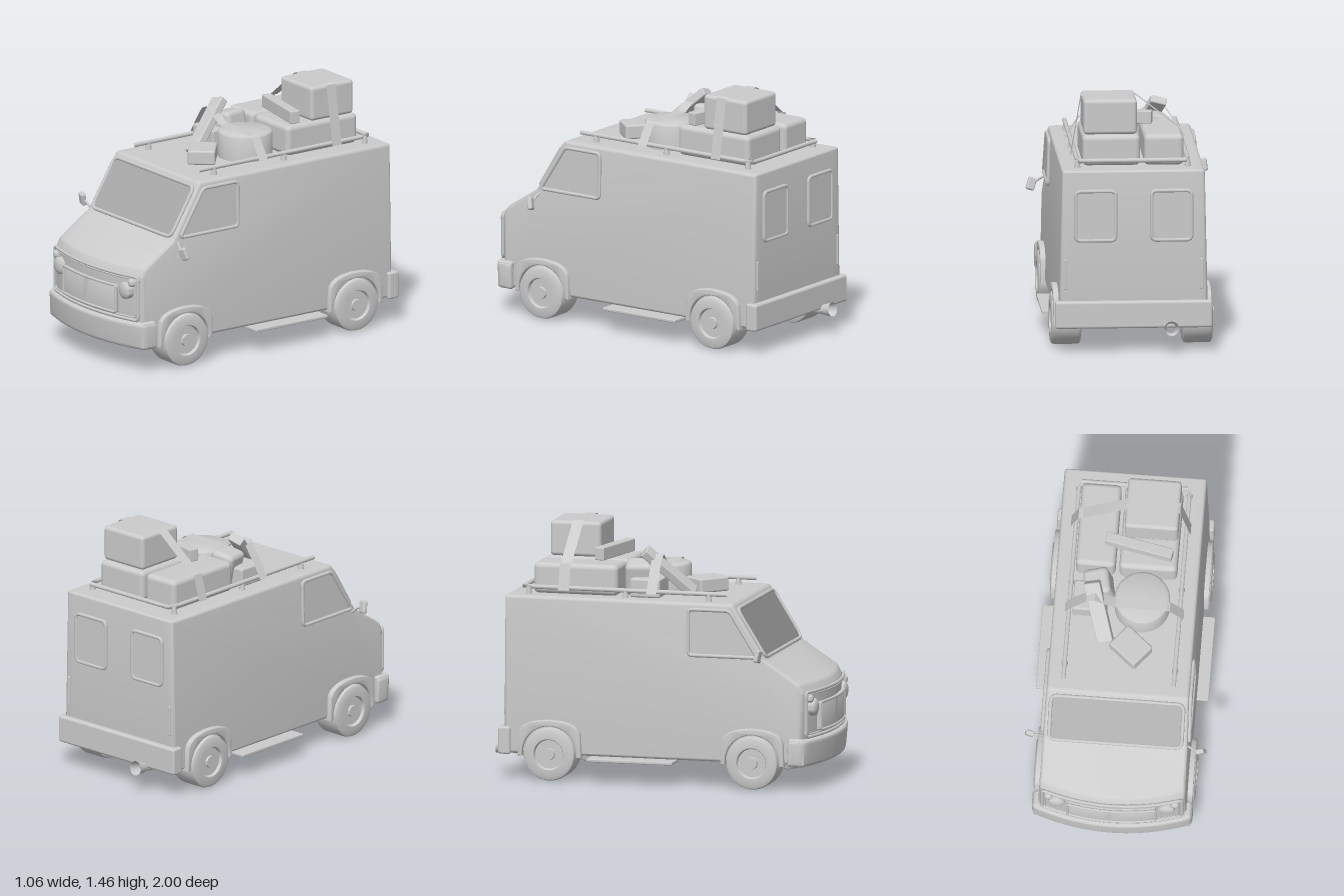
import * as THREE from 'three';
import { toCreasedNormals } from 'three/addons/utils/BufferGeometryUtils.js';
import { RoundedBoxGeometry } from 'three/addons/geometries/RoundedBoxGeometry.js';

export function createModel() {
  const van = new THREE.Group();
  van.name = 'van';
  const grey = new THREE.MeshStandardMaterial({ color: 0xcccccc });
  const cloth = new THREE.MeshStandardMaterial({ color: 0xcccccc, side: THREE.DoubleSide });
  const V = (x, y, z) => new THREE.Vector3(x, y, z);

  function add(name, geo, pos = [0, 0, 0], rot = [0, 0, 0], mat = grey) {
    const m = new THREE.Mesh(geo, mat);
    m.name = name;
    m.position.set(...pos);
    m.rotation.set(...rot);
    van.add(m);
    return m;
  }
  const box = (name, size, pos, r = 0.01, rot) => add(name, new RoundedBoxGeometry(...size, 3, r), pos, rot);

  // nose curvature in plan and slight narrowing towards the roof
  const noseZ = (x, z) => z - 0.075 * (x / 0.43) ** 2 * THREE.MathUtils.clamp((z - 0.66) / 0.29, 0, 1);
  function bend(geo, fn) {
    const p = geo.attributes.position;
    for (let i = 0; i < p.count; i++) p.setXYZ(i, ...fn(p.getX(i), p.getY(i), p.getZ(i)));
    return geo;
  }
  const bendNose = (x, y, z) => [x, y, noseZ(x, z)];
  const sideX = (y) => 0.432 * (1 - 0.045 * (y - 0.15) / 0.92);

  // extrude a (z, y) outline across the width
  function across(shape, width, bevel, steps = 1) {
    const geo = new THREE.ExtrudeGeometry(shape, {
      depth: width - 2 * bevel, steps, curveSegments: 16, bevelEnabled: bevel > 0,
      bevelSize: bevel, bevelThickness: bevel, bevelOffset: -bevel, bevelSegments: 3,
    });
    return geo.translate(0, 0, bevel - width / 2).rotateY(-Math.PI / 2);
  }
  // polygon with rounded corners
  function rounded(pts, r) {
    const s = new THREE.Shape();
    const v = pts.map((p) => new THREE.Vector2(...p));
    v.forEach((p, i) => {
      const a = v[(i + v.length - 1) % v.length], b = v[(i + 1) % v.length];
      const p1 = p.clone().add(a.clone().sub(p).setLength(r));
      const p2 = p.clone().add(b.clone().sub(p).setLength(r));
      if (i) s.lineTo(p1.x, p1.y); else s.moveTo(p1.x, p1.y);
      s.quadraticCurveTo(p.x, p.y, p2.x, p2.y);
    });
    s.closePath();
    return s;
  }
  const rect = (x0, x1, y0, y1, r) => rounded([[x0, y0], [x1, y0], [x1, y1], [x0, y1]], r);
  // raised bead following an outline, placed in space by map(u, v)
  function bead(name, shape, radius, map) {
    const pts = shape.getSpacedPoints(100).slice(0, -1).map((p) => map(p.x, p.y));
    const curve = new THREE.CatmullRomCurve3(pts, true);
    return add(name, new THREE.TubeGeometry(curve, 160, radius, 8, true));
  }
  const rod = (name, pts, r) => add(name, new THREE.TubeGeometry(
    new THREE.CatmullRomCurve3(pts.map((p) => V(...p)), false, 'catmullrom', 0.1), 40, r, 10));

  // body shell
  const profile = rounded([[-0.9, 0.15], [0.95, 0.15], [0.965, 0.57], [0.94, 0.615],
    [0.66, 0.755], [0.465, 1.07], [-0.9, 1.07]], 0.015);
  const shell = bend(across(profile, 0.864, 0.018, 20),
    (x, y, z) => [x * sideX(y) / 0.432, y, noseZ(x, z)]);
  add('body', toCreasedNormals(shell, 0.6));

  // windscreen on its slope
  const slope = (u, v) => V(u, v, 0.663 - (v - 0.755) * 0.619 + 0.004);
  const screen = rect(-0.385, 0.385, 0.768, 1.042, 0.04);
  bead('windscreenFrame', screen, 0.011, slope);
  add('windscreen', bend(new THREE.ShapeGeometry(screen), (x, y) => slope(x, y).toArray()));

  // cab side windows
  const cabShape = rounded([[0.62, 0.768], [0.45, 1.035], [0.205, 1.035], [0.205, 0.768]], 0.025);
  for (const s of [-1, 1]) {
    bead('cabWindowFrame', cabShape, 0.011, (z, y) => V(s * (sideX(y) + 0.007), y, z));
    add('cabWindow', bend(across(cabShape, 0.02, 0),
      (x, y, z) => [x + s * (sideX(y) - 0.002), y, z]));
  }

  // rear windows and tail lights
  for (const s of [-1, 1]) {
    const pane = rect(s * 0.22 - 0.115, s * 0.22 + 0.115, 0.66, 0.95, 0.03);
    bead('rearWindowFrame', pane, 0.011, (x, y) => V(x, y, -0.903));
    box('rearWindow', [0.22, 0.28, 0.012], [s * 0.22, 0.805, -0.901], 0.004);
    box('tailLight', [0.018, 0.18, 0.016], [s * 0.395, 0.46, -0.9], 0.006);
  }

  // bumpers
  const front = across(rounded([[0.86, 0.14], [0.985, 0.14], [1.0, 0.3], [0.87, 0.3]], 0.025), 0.93, 0.025, 20);
  add('frontBumper', toCreasedNormals(bend(front, bendNose), 0.6));
  for (const s of [-1, 1]) {
    box('frontBumperEnd', [0.04, 0.16, 0.1], [s * 0.438, 0.225, 0.86], 0.015);
    box('rearBumperEnd', [0.035, 0.16, 0.06], [s * 0.438, 0.225, -0.888], 0.012);
  }
  box('rearBumper', [0.91, 0.16, 0.05], [0, 0.225, -0.907], 0.015);

  // grille and lamps
  const onNose = (z) => (x, y) => V(x, y, noseZ(x, z));
  bead('grilleFrame', rect(-0.405, 0.405, 0.312, 0.572, 0.012), 0.01, onNose(0.972));
  bead('grilleFrameInner', rect(-0.39, 0.39, 0.327, 0.557, 0.012), 0.005, onNose(0.972));
  const centre = across(rounded([[0.93, 0.335], [0.98, 0.335], [0.98, 0.5], [0.93, 0.5]], 0.006), 0.51, 0.006, 14);
  add('grillePanel', toCreasedNormals(bend(centre, bendNose), 0.6));
  bead('grillePanelFrame', rect(-0.255, 0.255, 0.337, 0.498, 0.01), 0.008, onNose(0.98));
  function lamp(name, x, y, r) {
    const pts = [[0, -0.03], [r, -0.03], [r, 0.016], [r * 0.85, 0.024], [r * 0.5, 0.03], [0, 0.032]];
    const geo = new THREE.LatheGeometry(pts.map((p) => new THREE.Vector2(...p)), 32);
    add(name, toCreasedNormals(geo, 0.7), [x, y, noseZ(x, 0.965)], [Math.PI / 2, 0, 0]);
  }
  for (const s of [-1, 1]) {
    lamp('headlight', s * 0.318, 0.48, 0.05);
    lamp('indicator', s * 0.367, 0.535, 0.024);
  }

  // wheels and arches
  const tyre = [[0, -0.087], [0.135, -0.087], [0.15, -0.08], [0.155, -0.065], [0.155, 0.065], [0.15, 0.08],
    [0.135, 0.087], [0.09, 0.087], [0.083, 0.07], [0.035, 0.07], [0.032, 0.082], [0, 0.082]];
  const wheelGeo = toCreasedNormals(new THREE.LatheGeometry(
    tyre.map((p) => new THREE.Vector2(...p)), 48), 0.7).rotateZ(-Math.PI / 2);
  const arch = new THREE.Shape();
  arch.moveTo(-0.19, 0.14);
  arch.lineTo(-0.185, 0.27);
  arch.quadraticCurveTo(-0.17, 0.352, 0, 0.354);
  arch.quadraticCurveTo(0.17, 0.352, 0.185, 0.27);
  arch.lineTo(0.19, 0.14);
  arch.lineTo(0.163, 0.14);
  arch.absarc(0, 0.155, 0.163, 0, Math.PI, false);
  arch.lineTo(-0.163, 0.14);
  const archGeo = toCreasedNormals(across(arch, 0.05, 0.006), 0.6);
  for (const s of [-1, 1]) {
    for (const z of [0.595, -0.622]) {
      add('wheel', wheelGeo, [s * 0.381, 0.155, z], [0, s > 0 ? 0 : Math.PI, 0]);
      add('wheelArch', archGeo, [s * 0.434, 0, z]);
    }
    box('sideStep', [0.14, 0.018, 0.515], [s * 0.43, 0.137, -0.13], 0.005);
  }

  // door mirrors
  for (const [s, y] of [[1, 0.69], [-1, 0.79]]) {
    rod('mirrorArm', [[s * 0.415, 0.74, 0.63], [s * 0.45, (y + 0.77) / 2 - 0.01, 0.64], [s * 0.49, y, 0.64]], 0.007);
    box('doorMirror', [0.05, 0.075, 0.03], [s * 0.497, y, 0.642], 0.01, [0.2, s * 0.25, s > 0 ? 0.3 : -0.12]);
  }

  // exhaust
  rod('exhaustPipe', [[-0.215, 0.15, -0.75], [-0.215, 0.135, -0.86], [-0.215, 0.145, -0.96]], 0.024);
  add('exhaustTip', new THREE.CylinderGeometry(0.042, 0.028, 0.07, 24, 1, true),
    [-0.215, 0.148, -0.962], [-Math.PI / 2 + 0.15, 0, 0], cloth);

  // roof rack
  rod('rackRail', [[-0.32, 1.112, 0.41], [-0.32, 1.112, -0.79], [-0.3, 1.112, -0.81],
    [0.3, 1.112, -0.81], [0.32, 1.112, -0.79], [0.32, 1.112, 0.41]], 0.013);
  for (const x of [-0.32, 0.32]) for (const z of [0.3, -0.2, -0.78]) {
    add('rackFoot', new THREE.CylinderGeometry(0.013, 0.02, 0.05, 12), [x, 1.087, z]);
  }

  // luggage
  box('suitcase', [0.335, 0.18, 0.505], [0.12, 1.16, -0.505], 0.03);
  box('longCase', [0.23, 0.18, 0.505], [-0.185, 1.16, -0.508], 0.03);
  box('topCase', [0.31, 0.205, 0.305], [0.125, 1.352, -0.582], 0.022);
  box('flatCase', [0.4, 0.075, 0.06], [0.06, 1.288, -0.37], 0.006, [0, -0.2, 0]);
  add('drumCase', toCreasedNormals(new THREE.LatheGeometry(
    [[0, 0], [0.16, 0], [0.16, 0.14], [0.155, 0.15], [0.145, 0.155], [0, 0.155]]
      .map((p) => new THREE.Vector2(...p)), 48), 0.9), [0.1, 1.07, -0.085]);
  box('smallCase', [0.2, 0.085, 0.16], [0.055, 1.113, 0.187], 0.012, [0, -0.7, 0]);
  box('sideCase', [0.2, 0.11, 0.18], [-0.2, 1.125, -0.09], 0.012);
  box('softBag', [0.15, 0.19, 0.16], [-0.155, 1.17, -0.16], 0.03, [0, 0.2, 0.2]);
  const leaning = box('leaningCase', [0.095, 0.38, 0.05], [-0.145, 1.205, 0.015], 0.008);
  leaning.quaternion.setFromUnitVectors(V(0, 1, 0), V(-0.1, 0.25, -0.27).normalize());

  // straps laid over the luggage
  function strap(z, width, pts) {
    const geo = new THREE.PlaneGeometry(1, width, pts.length - 1, 1).rotateX(-Math.PI / 2);
    const p = geo.attributes.position;
    for (let i = 0; i < p.count; i++) {
      const [x, y] = pts[i % pts.length];
      p.setXYZ(i, x, y, p.getZ(i) + z);
    }
    add('strap', toCreasedNormals(geo, 0.4), [0, 0, 0], [0, 0, 0], cloth);
  }
  strap(-0.565, 0.065, [[-0.35, 1.1], [-0.305, 1.252], [-0.28, 1.258], [-0.035, 1.452],
    [-0.015, 1.461], [0.265, 1.461], [0.285, 1.452], [0.345, 1.1]]);
  strap(-0.04, 0.06, [[-0.345, 1.1], [-0.29, 1.19], [-0.22, 1.29], [-0.17, 1.31], [-0.12, 1.27],
    [-0.05, 1.228], [0.245, 1.23], [0.265, 1.22], [0.345, 1.1]]);

  return van;
}
